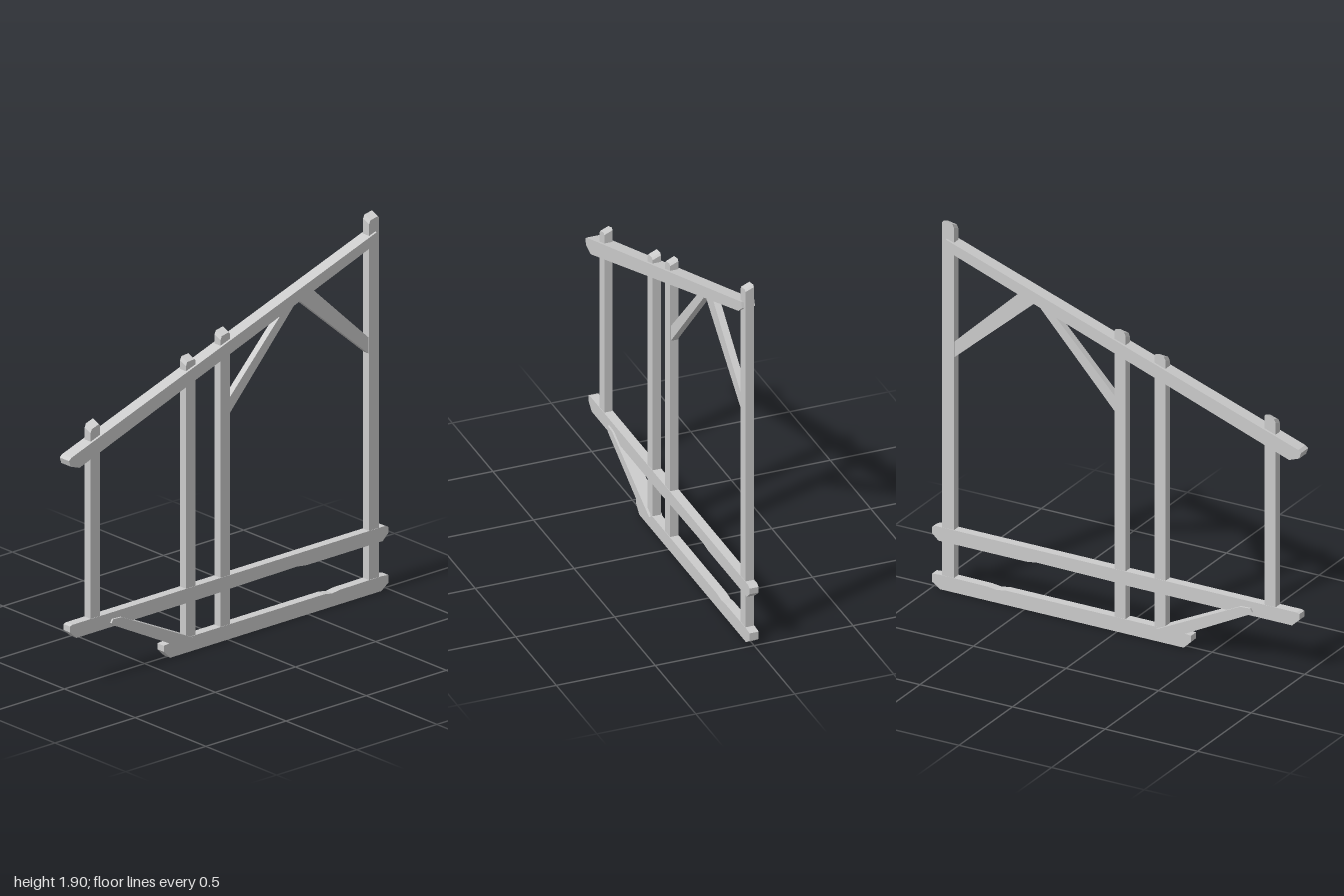
import * as THREE from 'three';

const material = new THREE.MeshStandardMaterial({ color: 0xcccccc, flatShading: true });

// A timber cut from a side profile of [z, y] points, with its thickness along x.
function timber(name, halfWidth, points) {
  const shape = new THREE.Shape(points.map(([z, y]) => new THREE.Vector2(z, y)));
  const geometry = new THREE.ExtrudeGeometry(shape, { depth: halfWidth * 2, bevelEnabled: false });
  geometry.translate(0, 0, -halfWidth);
  geometry.rotateY(-Math.PI / 2);
  const mesh = new THREE.Mesh(geometry, material);
  mesh.name = name;
  return mesh;
}

// An upright with a skewed, hand-cut top.
function post(name, zFront, zBack, bottom, topFront, topBack) {
  const mesh = timber(name, 0.021, [
    [zFront, bottom], [zBack, bottom], [zBack, topBack - 0.01],
    [zBack + 0.008, topBack], [zFront - 0.008, topFront + 0.006], [zFront, topFront - 0.012],
  ]);
  const p = mesh.geometry.attributes.position;
  for (let i = 0; i < p.count; i++) {
    if (p.getY(i) > topFront - 0.05 && p.getX(i) > 0) p.setY(i, p.getY(i) - 0.018);
  }
  mesh.geometry.computeVertexNormals();
  return mesh;
}

export function createModel() {
  const group = new THREE.Group();
  group.name = 'timberFrame';

  // Horizontal beams with chamfered lower ends
  group.add(timber('sill', 0.023, [
    [0.4, 0.07], [0.4, 0.04], [0.36, 0], [-0.955, 0], [-1, 0.03], [-1, 0.07],
    [-0.96, 0.074], [-0.7, 0.072], [-0.65, 0.066], [-0.6, 0.074], [0.36, 0.074],
  ]));
  group.add(timber('floorRail', 0.023, [
    [0.985, 0.315], [0.985, 0.285], [0.945, 0.248], [0.07, 0.248], [-0.04, 0.252],
    [-0.43, 0.256], [-0.49, 0.248], [-0.965, 0.248], [-1, 0.28], [-1, 0.31], [-0.98, 0.32], [0.97, 0.32],
  ]));

  // Sloping roof beam
  group.add(timber('rafter', 0.033, [
    [1, 1.15], [0.99, 1.12], [0.935, 1.1], [-0.885, 1.743], [-0.93, 1.78], [-0.92, 1.81], [0.985, 1.163],
  ]));

  // Posts: front z, back z, bottom, top at front, top at back
  [
    ['frontPost', 0.855, 0.795, 0.3, 1.28, 1.3],
    ['doorPostFront', 0.26, 0.2, 0.06, 1.465, 1.475],
    ['doorPostBack', 0.045, -0.015, 0.06, 1.54, 1.555],
    ['backPost', -0.882, -0.945, 0.06, 1.885, 1.9],
  ].forEach((args) => group.add(post(...args)));

  // Diagonal braces
  group.add(timber('upperBraceFront', 0.017, [
    [-0.005, 1.115], [-0.44, 1.59], [-0.36, 1.565], [-0.005, 1.195],
  ]));
  group.add(timber('upperBraceBack', 0.017, [
    [-0.44, 1.59], [-0.89, 1.2], [-0.89, 1.28], [-0.53, 1.62],
  ]));
  group.add(timber('lowerBrace', 0.033, [
    [0.735, 0.27], [0.725, 0.288], [0.67, 0.285], [0.215, 0.065],
    [0.205, 0.045], [0.23, 0.035], [0.29, 0.036], [0.72, 0.256],
  ]));

  return group;
}
